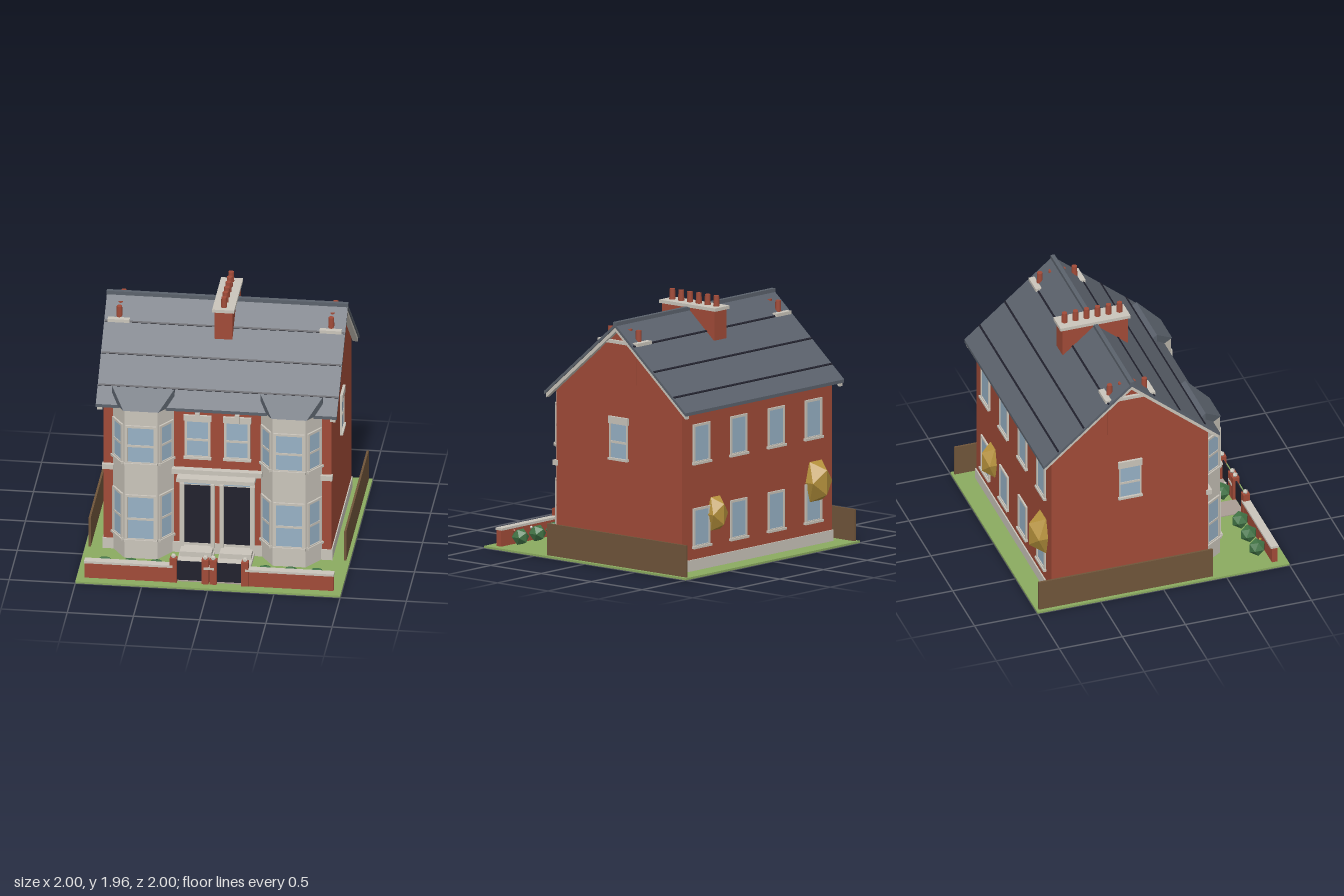
import * as THREE from 'three';
import { ConvexGeometry } from 'three/addons/geometries/ConvexGeometry.js';

const mat = (name, color, extra = {}) => {
  const m = new THREE.MeshStandardMaterial({ color, ...extra });
  m.name = name;
  return m;
};

export function createModel() {
  const brick = mat('brick', 0xa14b38), slate = mat('slate', 0x5b626c), stone = mat('stone', 0xcac5bb);
  const glass = mat('glass', 0x97b1c5), dark = mat('dark paint', 0x21212d), grass = mat('grass', 0x8bab60);
  const leaf = mat('shrub green', 0x417345), gold = mat('golden leaves', 0xb5913c);
  const wood = mat('fence wood', 0x70553a), paving = mat('paving', 0xaa9d95);
  const root = new THREE.Group();
  root.name = 'house';

  const add = (name, geo, m, parent = root) => {
    const mesh = new THREE.Mesh(geo, m);
    mesh.name = name;
    parent.add(mesh);
    return mesh;
  };
  // Box given by its limits on each axis
  const box = (name, m, x0, x1, y0, y1, z0, z1, parent = root) => {
    const b = add(name, new THREE.BoxGeometry(x1 - x0, y1 - y0, z1 - z0), m, parent);
    b.position.set((x0 + x1) / 2, (y0 + y1) / 2, (z0 + z1) / 2);
    return b;
  };
  // Profile of [z, y] points swept along x
  const sweepX = (name, m, pts, x0, x1) => {
    const s = new THREE.Shape(pts.map(([z, y]) => new THREE.Vector2(-z, y)));
    const g = new THREE.ExtrudeGeometry(s, { depth: x1 - x0, bevelEnabled: false });
    g.rotateY(Math.PI / 2).translate(x0, 0, 0);
    return add(name, g, m);
  };
  // Faceted ball
  const blob = (name, m, x, y, z, rx, ry = rx) => {
    const b = add(name, new THREE.IcosahedronGeometry(1, 0), m);
    b.scale.set(rx, ry, rx);
    b.position.set(x, y, z);
    return b;
  };
  // Sash window facing +z, centred on its own origin
  const addWindow = (name, x, y, z, turn, w, h, { f = 0.018, bar = true, lintel = 0 } = {}) => {
    const g = new THREE.Group();
    g.name = name;
    g.position.set(x, y, z);
    g.rotation.y = turn;
    const a = w / 2, b = h / 2;
    box('glass', glass, -a + f, a - f, -b + f, b - f, 0, 0.006, g);
    for (const s of [-1, 1]) {
      box('frameSide', stone, s * (a - f / 2) - f / 2, s * (a - f / 2) + f / 2, -b, b, -0.005, 0.014, g);
      box('frameRail', stone, -a + f, a - f, s * (b - f / 2) - f / 2, s * (b - f / 2) + f / 2, -0.005, 0.014, g);
    }
    if (bar) box('meetingRail', stone, -a + f, a - f, -0.018, 0, 0, 0.011, g);
    box('sill', stone, -a - 0.008, a + 0.008, -b - 0.008, -b + 0.01, -0.005, 0.024, g);
    if (lintel) box('lintel', stone, -a - 0.008, a + 0.008, b - 0.01, b + lintel, -0.005, 0.02, g);
    root.add(g);
  };

  // Plot
  box('lawn', grass, -1, 1, 0, 0.015, -1, 1);
  for (const s of [-1, 1]) {
    box('fence', wood, s * 0.965 - 0.008, s * 0.965 + 0.008, 0.01, 0.258, -0.98, 0.4);
    box('path', paving, s * 0.147 - 0.093, s * 0.147 + 0.093, 0.01, 0.021, 0.5, 0.9);
  }

  // Walls with gables
  sweepX('walls', brick, [[0.4, 0.01], [0.4, 1.285], [-0.22, 1.812], [-0.84, 1.285], [-0.84, 0.01]], -0.86, 0.86);
  box('plinth', stone, -0.868, 0.868, 0.01, 0.1, -0.85, 0.41);

  // Roof: slates, verge boards, seams and ridge
  const chevron = (top, t, reach) => {
    const e = top - reach * 0.85;
    return [[-0.22 + reach, e], [-0.22, top], [-0.22 - reach, e], [-0.22 - reach, e - t], [-0.22, top - t], [-0.22 + reach, e - t]];
  };
  sweepX('roof', slate, chevron(1.845, 0.025, 0.7), -0.91, 0.91);
  for (const s of [-1, 1]) {
    sweepX('vergeBoard', stone, chevron(1.822, 0.036, 0.69), s * 0.88 - 0.02, s * 0.88 + 0.02);
    for (const d of [0.18, 0.38, 0.58]) {
      const seam = box('roofSeam', dark, -0.905, 0.905, 0, 0.01, 0, 0.014);
      seam.position.set(0, 1.845 - d * 0.85 + 0.002, -0.22 + s * d);
      seam.rotation.x = s * Math.atan(0.85);
    }
  }
  box('ridge', slate, -0.912, 0.912, 1.825, 1.86, -0.236, -0.204);

  // Chimneys
  const pot = (x, y0, y1, z) => {
    add('chimneyPot', new THREE.CylinderGeometry(0.021, 0.024, y1 - y0, 10), brick).position.set(x, (y0 + y1) / 2, z);
  };
  box('mainChimney', brick, -0.068, 0.068, 1.63, 1.855, -0.48, 0.04);
  box('mainChimneyCap', stone, -0.083, 0.083, 1.855, 1.88, -0.5, 0.055);
  for (let i = 0; i < 6; i++) pot(0, 1.88, 1.96, -0.44 + i * 0.0872);
  for (const s of [-1, 1]) {
    box('endChimney', brick, s * 0.8 - 0.066, s * 0.8 + 0.066, 1.39, 1.69, -0.395, -0.045);
    box('endChimneyCap', stone, s * 0.8 - 0.083, s * 0.8 + 0.083, 1.69, 1.715, -0.42, -0.025);
    for (const z of [-0.36, -0.27, -0.175, -0.085]) pot(s * 0.8, 1.71, 1.8, z);
  }

  // Bay fronts
  const facet = Math.atan2(0.155, 0.105);
  for (const s of [-1, 1]) {
    const cx = s * 0.56;
    const plan = [[-0.23, 0.38], [-0.23, 0.4], [-0.125, 0.555], [0.125, 0.555], [0.23, 0.4], [0.23, 0.38]];
    const shape = new THREE.Shape(plan.map(([x, z]) => new THREE.Vector2(x, -z)));
    const bay = new THREE.ExtrudeGeometry(shape, { depth: 1.24, bevelEnabled: false });
    add('bay', bay.rotateX(-Math.PI / 2).translate(cx, 0.01, 0), stone);
    const pts = [];
    for (const k of [-1, 1]) {
      pts.push(new THREE.Vector3(cx + k * 0.132, 1.245, 0.562), new THREE.Vector3(cx + k * 0.235, 1.245, 0.405),
        new THREE.Vector3(cx + k * 0.235, 1.37, 0.405), new THREE.Vector3(cx + k * 0.235, 1.245, 0.37),
        new THREE.Vector3(cx + k * 0.235, 1.345, 0.37));
    }
    add('bayRoof', new ConvexGeometry(pts), slate);
    for (const [y, h] of [[0.965, 0.32], [0.357, 0.38]]) {
      addWindow('bayFrontWindow', cx, y, 0.555, 0, 0.232, h);
      for (const k of [-1, 1]) addWindow('baySideWindow', cx + k * 0.1775, y, 0.4775, k * facet, 0.155, h);
    }
    // String course at the outer corner
    box('stringCourse', stone, s * 0.825 - 0.045, s * 0.825 + 0.045, 0.685, 0.725, 0.385, 0.43);
  }

  // Entrance and the windows above
  box('porchBand', stone, -0.34, 0.34, 0.685, 0.725, 0.39, 0.45);
  box('porchCanopy', stone, -0.295, 0.295, 0.66, 0.69, 0.39, 0.535);
  box('doorHead', stone, -0.285, 0.285, 0.585, 0.662, 0.39, 0.415);
  for (const s of [-1, 1]) {
    const cx = s * 0.15;
    box('door', dark, cx - 0.1, cx + 0.1, 0.08, 0.585, 0.395, 0.408);
    for (const k of [-1, 1]) box('doorPilaster', stone, cx + k * 0.116 - 0.016, cx + k * 0.116 + 0.016, 0.07, 0.6, 0.39, 0.435);
    const arch = new THREE.Shape();
    arch.absellipse(0, 0, 0.1, 0.066, 0, Math.PI, false, 0);
    add('fanlight', new THREE.ShapeGeometry(arch, 16).translate(cx, 0.594, 0.419), glass);
    box('lowerStep', stone, cx - 0.13, cx + 0.13, 0.01, 0.04, 0.39, 0.605);
    box('upperStep', stone, cx - 0.12, cx + 0.12, 0.04, 0.08, 0.39, 0.53);
    addWindow('upperFrontWindow', cx, 0.97, 0.4, 0, 0.195, 0.32, { lintel: 0.036 });
    box('keystone', stone, cx - 0.017, cx + 0.017, 1.12, 1.187, 0.395, 0.424);
  }

  // Side and back windows
  for (const s of [-1, 1]) {
    addWindow('sideWindow', s * 0.86, 0.945, -0.22, s * Math.PI / 2, 0.175, 0.28, { f: 0.01, lintel: 0.045 });
  }
  for (const x of [-0.64, -0.215, 0.215, 0.64]) {
    for (const y of [0.98, 0.34]) addWindow('backWindow', x, y, -0.84, Math.PI, 0.19, 0.3, { bar: false });
  }

  // Front garden wall, gate piers and gates
  for (const s of [-1, 1]) {
    box('gardenWall', brick, s * 0.61 - 0.33, s * 0.61 + 0.33, 0.01, 0.14, 0.88, 0.925);
    box('wallCoping', stone, s * 0.608 - 0.335, s * 0.608 + 0.335, 0.138, 0.156, 0.87, 0.933);
    box('gate', dark, s * 0.15 - 0.095, s * 0.15 + 0.095, 0.03, 0.185, 0.897, 0.907);
    for (const x of [0.03, 0.27]) {
      box('gatePier', brick, s * x - 0.027, s * x + 0.027, 0.01, 0.212, 0.875, 0.93);
      blob('pierBall', stone, s * x, 0.225, 0.902, 0.021);
    }
  }
  box('centreCoping', stone, -0.04, 0.04, 0.138, 0.156, 0.87, 0.934);

  // Planting
  for (const x of [-0.8, -0.605, -0.41, 0, 0.41, 0.605, 0.8]) blob('shrub', leaf, x, 0.08, 0.81, 0.068);
  blob('flower', gold, -0.77, 0.125, 0.845, 0.012);
  blob('flower', stone, 0.03, 0.125, 0.845, 0.012);
  blob('flower', stone, 0.635, 0.125, 0.845, 0.012);
  blob('flower', brick, 0.83, 0.125, 0.845, 0.014);
  blob('goldenTree', gold, -0.67, 0.5, -0.845, 0.13, 0.18);
  blob('goldenTree', gold, 0.48, 0.42, -0.845, 0.1, 0.15);

  for (const m of [leaf, gold]) m.flatShading = true;
  return root;
}
